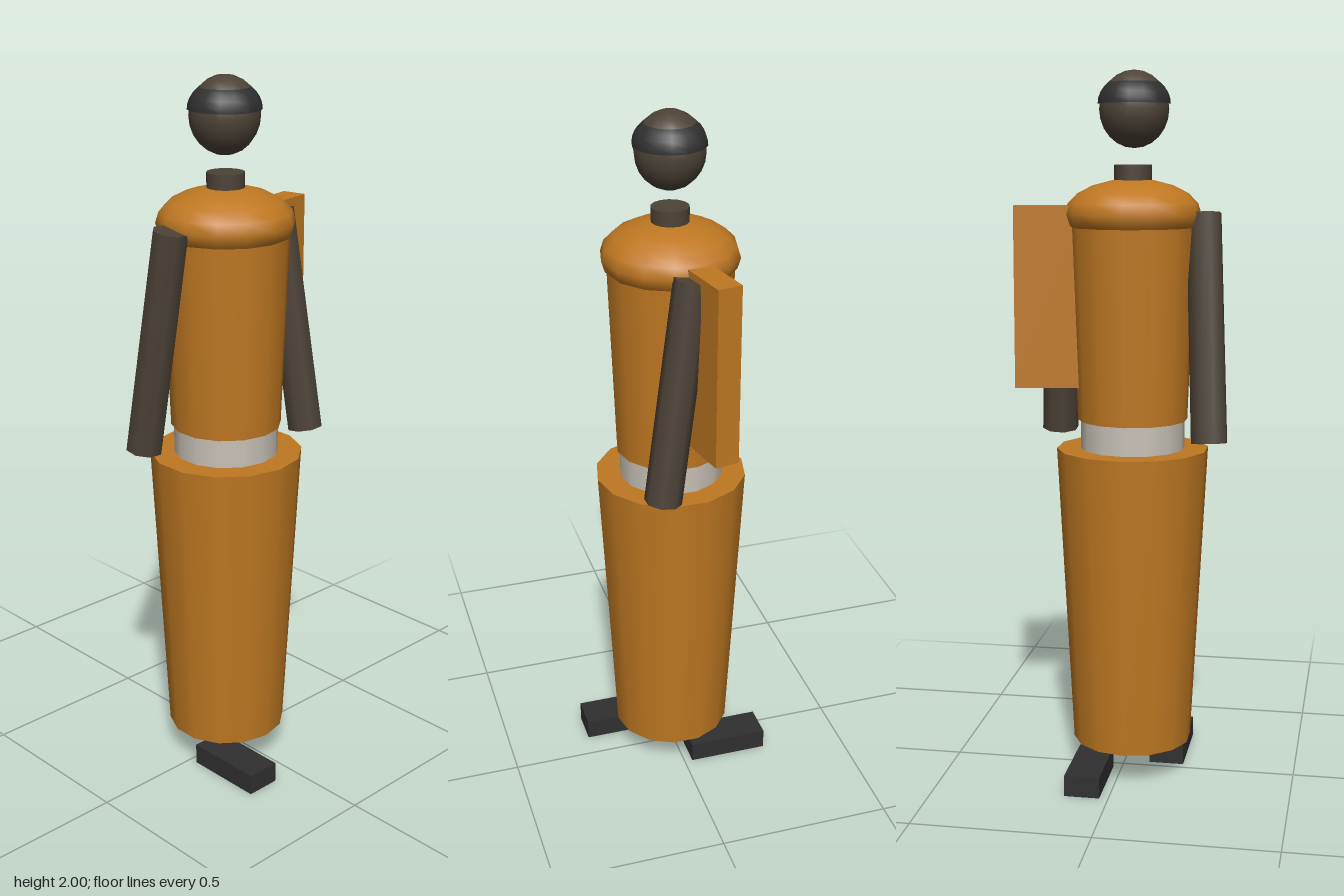
import * as THREE from 'three';

const mat = (name, color) => new THREE.MeshStandardMaterial({ name, color });

export function createModel() {
  const orange = mat('orange cloth', 0xbf7822);
  const brown = mat('dark brown', 0x4d4337);
  const black = mat('charcoal', 0x303030);
  const pale = mat('pale belt', 0xc8c1b6);
  black.side = THREE.DoubleSide;

  const model = new THREE.Group();
  const body = new THREE.Group();
  body.name = 'body';
  body.position.z = 0.027;
  model.add(body);

  const add = (name, geometry, material, x, y, z) => {
    const mesh = new THREE.Mesh(geometry, material);
    mesh.name = name;
    mesh.position.set(x, y, z);
    body.add(mesh);
    return mesh;
  };

  // Upright tapered drum with a corner on the x axis
  const drum = (name, material, rTop, rBottom, y0, y1) => {
    const g = new THREE.CylinderGeometry(rTop, rBottom, y1 - y0, 14).rotateY(Math.PI / 2);
    return add(name, g, material, 0, (y0 + y1) / 2, 0);
  };
  drum('skirt', orange, 0.215, 0.17, 0.095, 0.955);
  drum('belt', pale, 0.147, 0.147, 0.94, 1.045);
  drum('torso', orange, 0.176, 0.155, 1.037, 1.61);
  drum('neck', brown, 0.052, 0.052, 1.66, 1.745);

  // Rounded shoulders, head and cap
  add('shoulders', new THREE.SphereGeometry(1, 14, 10).scale(0.19, 0.097, 0.19), orange, 0, 1.611, 0);
  add('head', new THREE.SphereGeometry(1, 14, 12).scale(0.096, 0.105, 0.096), brown, 0, 1.895, 0.003);
  add('cap', new THREE.SphereGeometry(1, 14, 8, 0, Math.PI * 2, 0, Math.PI / 2).scale(0.1, 0.08, 0.1),
    black, 0, 1.91, 0.003);

  // Arms and feet, each pair turned half round the body axis
  for (const s of [1, -1]) {
    const top = new THREE.Vector3(0, 1.615, 0.197 * s);
    const hand = new THREE.Vector3(-0.09 * s, 0.99, 0.228 * s);
    const dir = top.clone().sub(hand);
    const g = new THREE.CylinderGeometry(0.05, 0.052, dir.length(), 8).rotateY(Math.PI / 8);
    const mid = top.clone().add(hand).multiplyScalar(0.5);
    const arm = add(s > 0 ? 'frontArm' : 'backArm', g, brown, mid.x, mid.y, mid.z);
    arm.quaternion.setFromUnitVectors(new THREE.Vector3(0, 1, 0), dir.normalize());

    add(s > 0 ? 'leftFoot' : 'rightFoot', new THREE.BoxGeometry(0.232, 0.06, 0.1),
      black, 0.14 * s, 0.03, 0.1 * s - 0.002);
  }

  // Slanted slab on the back
  const slab = add('backSlab', new THREE.BoxGeometry(0.07, 0.505, 0.2), orange, -0.039, 1.3825, -0.227);
  slab.rotation.y = 0.2;

  return model;
}
